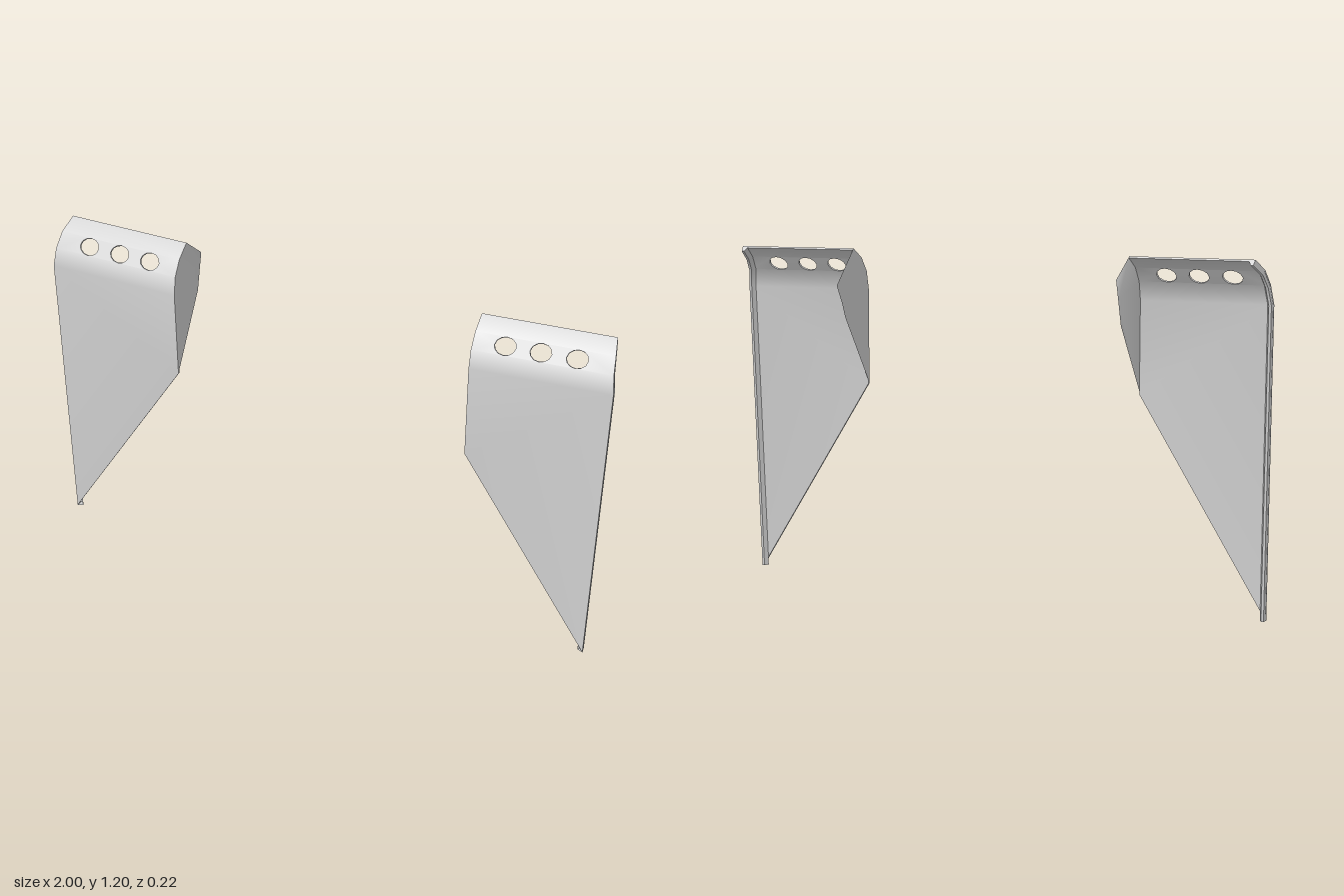
import * as THREE from 'three';
import { toCreasedNormals } from 'three/addons/utils/BufferGeometryUtils.js';

// side profile of the outer skin, bottom to top: height, depth, surface normal angle
const ROWS = [
  { y: 0, z: 0.108, a: 0, x: 0.992 },
  { y: 1.05, z: 0.108, a: 0.1, x: 0.998 },
  { y: 1.115, z: 0.095, a: 0.42, x: 0.99 },
  { y: 1.165, z: 0.06, a: 0.78, x: 0.982 },
  { y: 1.2, z: 0.005, a: 0.95, x: 0.968 },
];
const INNER = 0.53;
const SKIN = 0.007;
const LIP = 0.022;

// point on the skin at x and row position h, sunk d inward
function skinPoint(x, h, d, twist) {
  const i = Math.min(Math.floor(h), ROWS.length - 2);
  const t = h - i;
  const mix = (k) => ROWS[i][k] * (1 - t) + ROWS[i + 1][k] * t;
  const u = (x - INNER) / (1 - INNER);
  const a = mix('a');
  return new THREE.Vector3(
    x,
    mix('y') - d * Math.sin(a),
    mix('z') - d * Math.cos(a) - twist * u * Math.min(h, 1),
  );
}

// triangles to a geometry, mirrored to the other side when s is -1
function toGeometry(tris, s) {
  const pos = [];
  for (const [a, b, c] of tris) {
    for (const p of s > 0 ? [a, b, c] : [a, c, b]) pos.push(p.x * s, p.y, p.z);
  }
  const g = new THREE.BufferGeometry();
  g.setAttribute('position', new THREE.Float32BufferAttribute(pos, 3));
  return toCreasedNormals(g, 0.55);
}

function quad(tris, a, b, c, d) {
  tris.push([a, b, c], [a, c, d]);
}

// curved sheet with three holes in its upper bend
function panelGeometry(s, cornerY, twist) {
  const tris = [];
  const at = (p, d) => skinPoint(p.x, p.y, d, twist);
  const wall = (pts, closed) => {
    for (let i = 0; i < pts.length - (closed ? 0 : 1); i++) {
      const p = pts[i], q = pts[(i + 1) % pts.length];
      quad(tris, at(p, 0), at(p, SKIN), at(q, SKIN), at(q, 0));
    }
  };
  const corner = new THREE.Vector2(INNER, cornerY / ROWS[1].y);
  for (let i = 0; i < ROWS.length - 1; i++) {
    const outline = [
      i === 0 ? corner : new THREE.Vector2(INNER, i),
      new THREE.Vector2(ROWS[i].x, i),
      new THREE.Vector2(ROWS[i + 1].x, i + 1),
      new THREE.Vector2(INNER, i + 1),
    ];
    const holes = [];
    if (i === 2) {
      for (const cx of [0.635, 0.75, 0.867]) {
        const hole = [];
        for (let k = 0; k < 12; k++) {
          const a = -k * Math.PI / 6;
          hole.push(new THREE.Vector2(cx + 0.035 * Math.cos(a), 2.5 + 0.49 * Math.sin(a)));
        }
        holes.push(hole);
        wall(hole, true);
      }
    }
    const all = outline.concat(...holes);
    for (const [a, b, c] of THREE.ShapeUtils.triangulateShape(outline, holes)) {
      tris.push([at(all[a], 0), at(all[b], 0), at(all[c], 0)]);
      tris.push([at(all[a], SKIN), at(all[c], SKIN), at(all[b], SKIN)]);
    }
    if (i === 0) wall([corner, outline[1]], false);
  }
  // top rim and inner rim
  wall([new THREE.Vector2(ROWS[4].x, 4), new THREE.Vector2(INNER, 4)], false);
  wall([4, 3, 2, 1, corner.y].map((h) => new THREE.Vector2(INNER, h)), false);
  return toGeometry(tris, s);
}

// thickened strip along the outer edge
function lipGeometry(s, twist) {
  const tris = [];
  const section = [[0, 0], [-0.002, LIP], [-0.011, LIP], [-0.02, SKIN]];
  const rings = ROWS.map((r, h) =>
    section.map(([dx, d]) => skinPoint(r.x + dx, h, d, twist)));
  for (let i = 0; i < rings.length - 1; i++) {
    for (let k = 0; k < section.length - 1; k++) {
      quad(tris, rings[i][k], rings[i][k + 1], rings[i + 1][k + 1], rings[i + 1][k]);
    }
  }
  quad(tris, rings[0][0], rings[0][3], rings[0][2], rings[0][1]);
  quad(tris, ...rings[4]);
  return toGeometry(tris, s);
}

// thin fin turned back from the inner edge
function finGeometry(s, cornerY, back, bulge) {
  const front = [[ROWS[1].z, cornerY], ...ROWS.slice(1).map((r) => [r.z, r.y])];
  const pts = front.concat(back).map(([z, y]) => new THREE.Vector2(z, y));
  const place = (p) => new THREE.Vector3(
    INNER - (p.x < -0.05 && p.y > 1.1 ? bulge : 0), p.y, p.x);
  const tris = THREE.ShapeUtils.triangulateShape(pts, [])
    .map((f) => f.map((i) => place(pts[i])));
  return toGeometry(tris, s);
}

export function createModel() {
  const grey = new THREE.MeshStandardMaterial({ color: 0xcccccc, side: THREE.DoubleSide });
  grey.name = 'light grey';
  const model = new THREE.Group();
  model.name = 'panelPair';

  const sides = [
    {
      name: 'left', s: 1, cornerY: 0.71, twist: 0.048, bulge: 0,
      back: [[-0.11, 1.075], [-0.075, 1.01], [-0.055, 0.96]],
    },
    {
      name: 'right', s: -1, cornerY: 0.73, twist: 0, bulge: 0.014,
      back: [[-0.07, 1.125], [-0.083, 1.06], [-0.06, 0.975]],
    },
  ];
  for (const { name, s, cornerY, twist, bulge, back } of sides) {
    const group = new THREE.Group();
    group.name = name + 'Side';
    const add = (part, geometry) => {
      const mesh = new THREE.Mesh(geometry, grey);
      mesh.name = name + part;
      group.add(mesh);
    };
    add('Panel', panelGeometry(s, cornerY, twist));
    add('OuterLip', lipGeometry(s, twist));
    add('InnerFin', finGeometry(s, cornerY, back, bulge));
    model.add(group);
  }
  return model;
}
